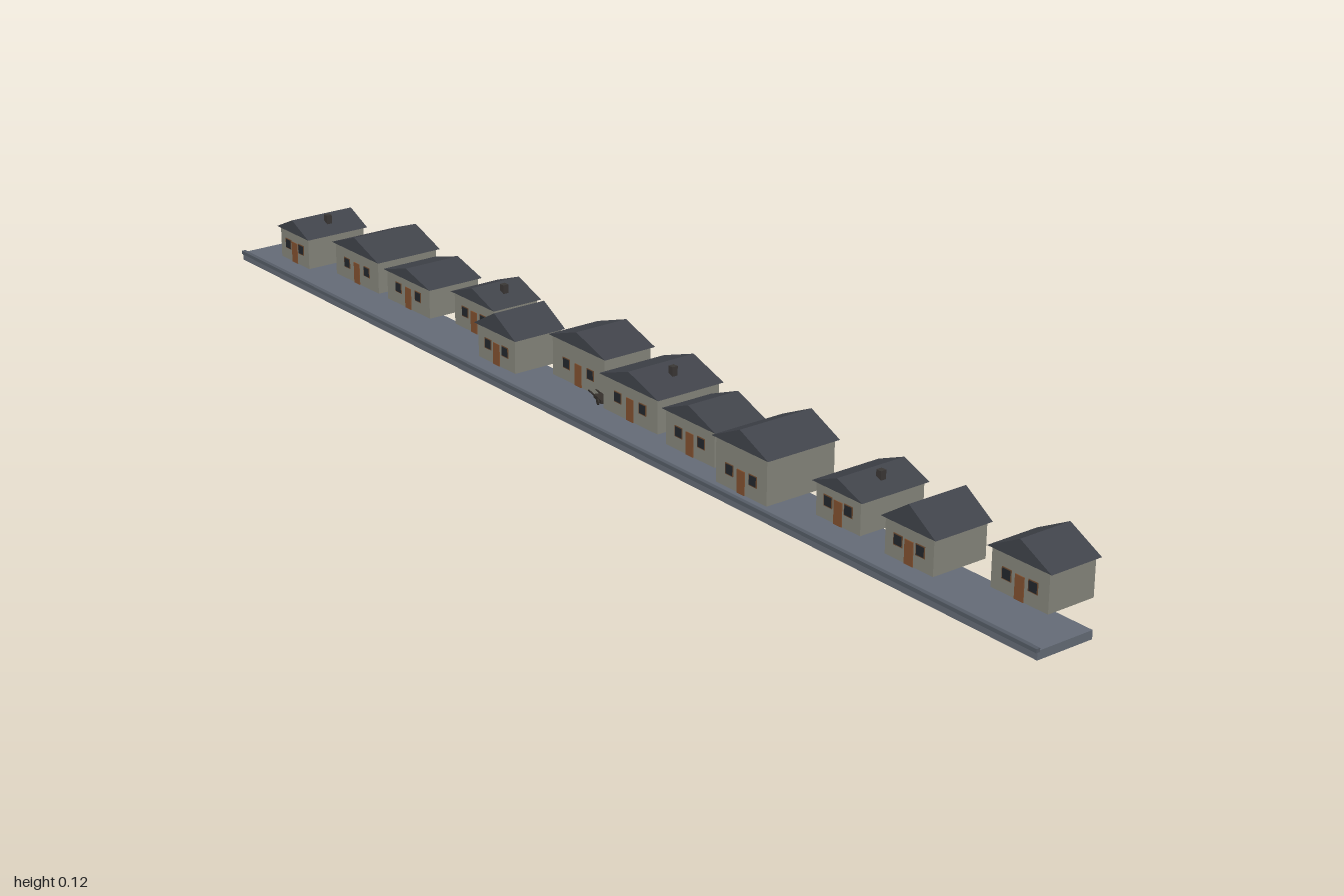
import * as THREE from 'three';

const paint = (color) => new THREE.MeshStandardMaterial({ color, flatShading: true });
const MAT = {
  paving: paint(0x646b76), kerb: paint(0x555c66), wall: paint(0x85857b), roof: paint(0x40434a),
  door: paint(0x80502f), frame: paint(0x6b4a30), glass: paint(0x22262c), chimney: paint(0x3a3735), cart: paint(0x35302c),
};
const BASE = 0.0135;

// Box given by its centre in x and z and its bottom in y
function box(parent, name, mat, w, h, d, x, y, z) {
  const mesh = new THREE.Mesh(new THREE.BoxGeometry(w, h, d), mat);
  mesh.name = name;
  mesh.position.set(x, y + h / 2, z);
  parent.add(mesh);
  return mesh;
}

// Closed gable roof with its ridge along z
function gableRoof(w, h, d) {
  const shape = new THREE.Shape();
  shape.moveTo(-w / 2, 0);
  shape.lineTo(w / 2, 0);
  shape.lineTo(0, h);
  shape.closePath();
  const geo = new THREE.ExtrudeGeometry(shape, { depth: d, bevelEnabled: false });
  return geo.translate(0, 0, -d / 2);
}

// Cottage fitted to its roof outline, eave height and ridge height
function cottage([x0, x1, z0, z1, eave, ridge], index) {
  const house = new THREE.Group();
  house.name = 'cottage' + (index + 1);
  house.position.set((x0 + x1) / 2, 0, (z0 + z1) / 2);
  const roofW = x1 - x0, roofD = z1 - z0;
  const w = roofW - 0.013, d = roofD - 0.008, front = d / 2;
  box(house, 'walls', MAT.wall, w, eave - BASE, d, 0, BASE, 0);

  const roof = new THREE.Mesh(gableRoof(roofW, ridge - eave, roofD), MAT.roof);
  roof.name = 'roof';
  roof.position.y = eave;
  house.add(roof);

  // Door between two framed windows
  box(house, 'door', MAT.door, 0.017, 0.037, 0.003, 0, BASE, front);
  for (const side of [-1, 1]) {
    const x = side * Math.max(0.021, w * 0.23);
    box(house, 'windowFrame', MAT.frame, 0.018, 0.018, 0.002, x, 0.034, front);
    box(house, 'windowPane', MAT.glass, 0.015, 0.015, 0.003, x, 0.0355, front);
  }

  // Every third cottage has a chimney
  if (index % 3 === 0) {
    box(house, 'chimney', MAT.chimney, 0.01, ridge + 0.004 - eave, 0.01, roofW * 0.2, eave, 0);
  }
  return house;
}

// Small handcart standing on the pavement
function handcart() {
  const cart = new THREE.Group();
  cart.name = 'handcart';
  box(cart, 'cartBed', MAT.cart, 0.03, 0.006, 0.014, 0, 0.005, 0);
  for (const side of [-1, 1]) {
    box(cart, 'cartShaft', MAT.cart, 0.028, 0.002, 0.002, -0.024, 0.008, side * 0.006);
    const wheel = new THREE.Mesh(new THREE.CylinderGeometry(0.005, 0.005, 0.002, 10), MAT.cart);
    wheel.name = 'cartWheel';
    wheel.rotation.x = Math.PI / 2;
    wheel.position.set(0.004, 0.005, side * 0.008);
    cart.add(wheel);
  }
  cart.position.set(-0.025, BASE, 0.026);
  cart.rotation.y = -0.25;
  return cart;
}

export function createModel() {
  const street = new THREE.Group();
  street.name = 'cottageRow';

  // Pavement with a raised front kerb
  box(street, 'pavement', MAT.paving, 2, 0.0135, 0.101, 0, 0, 0.0475);
  box(street, 'kerb', MAT.kerb, 2, 0.006, 0.007, 0, 0.011, 0.0968);

  // Roof outline (x0, x1, z0, z1), eave and ridge heights
  const cottages = [
    [-0.947, -0.842, -0.067, 0.056, 0.069, 0.093],
    [-0.807, -0.658, -0.099, 0.029, 0.071, 0.098],
    [-0.642, -0.500, -0.078, 0.029, 0.066, 0.086],
    [-0.468, -0.342, -0.088, 0.008, 0.070, 0.093],
    [-0.318, -0.203, -0.035, 0.064, 0.071, 0.103],
    [-0.179, -0.029, -0.083, 0.016, 0.081, 0.106],
    [-0.013, 0.136, -0.088, 0.040, 0.071, 0.096],
    [0.160, 0.289, -0.043, 0.053, 0.071, 0.096],
    [0.316, 0.444, -0.053, 0.083, 0.086, 0.115],
    [0.495, 0.602, -0.083, 0.045, 0.066, 0.087],
    [0.652, 0.762, -0.051, 0.056, 0.070, 0.106],
    [0.818, 0.939, -0.079, 0.015, 0.074, 0.105],
  ];
  cottages.forEach((spec, i) => street.add(cottage(spec, i)));
  street.add(handcart());
  return street;
}
